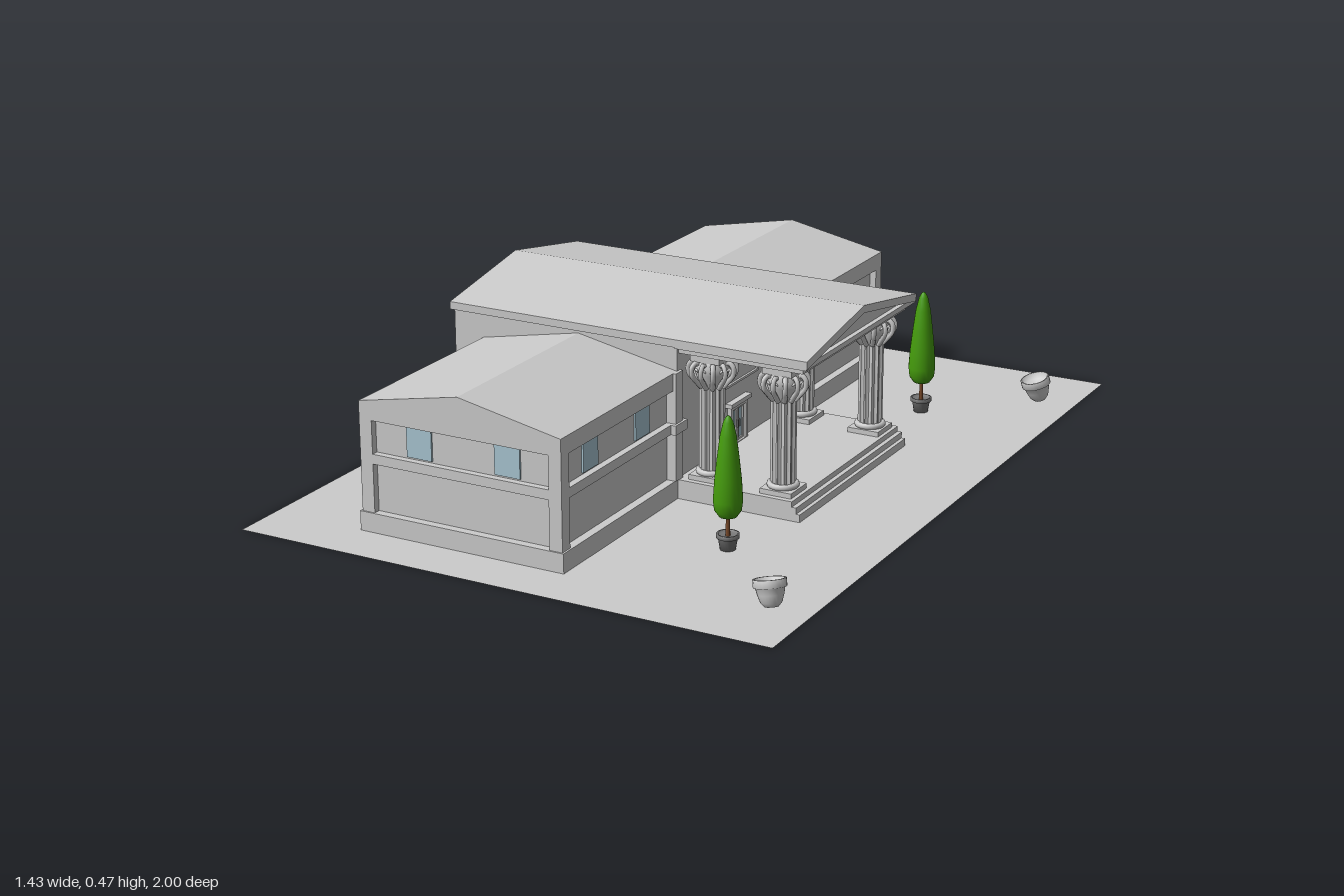
import * as THREE from 'three';

const mat = (color, side = THREE.FrontSide) => new THREE.MeshStandardMaterial({ color, side });
const grey = mat(0xcccccc);
const greyDouble = mat(0xcccccc, THREE.DoubleSide);
const glass = mat(0xa9c6d2);
const green = mat(0x459c0c);
const brown = mat(0x7a4a2a);
const dark = mat(0x777777, THREE.DoubleSide);
const ZC = 0.013; // centre line of the hall

function add(parent, name, geometry, material = grey) {
  const mesh = new THREE.Mesh(geometry, material);
  mesh.name = name;
  parent.add(mesh);
  return mesh;
}

// Box given by its limits on each axis
function box(parent, name, x0, x1, y0, y1, z0, z1, material = grey) {
  const m = add(parent, name, new THREE.BoxGeometry(x1 - x0, y1 - y0, z1 - z0), material);
  m.position.set((x0 + x1) / 2, (y0 + y1) / 2, (z0 + z1) / 2);
  return m;
}

const shapeOf = (pts) => new THREE.Shape(pts.map(([x, y]) => new THREE.Vector2(x, y)));
const extrude = (shape, depth) => new THREE.ExtrudeGeometry(shape, { depth, bevelEnabled: false });

// Extrusion along +x of an outline drawn across the width
function alongX(parent, name, shape, x0, x1, zc = ZC) {
  const m = add(parent, name, extrude(shape, x1 - x0).rotateY(Math.PI / 2));
  m.position.set(x0, 0, zc);
  return m;
}

function frameShape(w, y0, y1, t) {
  const s = shapeOf([[-w / 2, y0], [w / 2, y0], [w / 2, y1], [-w / 2, y1]]);
  s.holes.push(shapeOf([[-w / 2 + t, y0 + t], [-w / 2 + t, y1 - t], [w / 2 - t, y1 - t], [w / 2 - t, y0 + t]]));
  return s;
}

const gable = (h, y0, eave, ridge) => shapeOf([[-h, y0], [h, y0], [h, eave], [0, ridge], [-h, eave]]);

// Side wing: recessed walls framed by base, posts, band and gabled top
function makeWing(name, z0, z1, outer) {
  const g = new THREE.Group();
  g.name = name;
  const X0 = -0.46, X1 = 0.1, d = 0.018, p = 0.035;
  box(g, 'wingBase', X0 - 0.005, X1 + 0.005, 0, 0.05, z0 - 0.004, z1 + 0.004);
  box(g, 'wingWall', X0 + d, X1 - d, 0.05, 0.29, z0 + d, z1 - d);
  box(g, 'wingBand', X0, X1, 0.175, 0.2, z0, z1);
  for (const x of [X0, X1 - p]) {
    for (const z of [z0, z1 - p]) box(g, 'wingPost', x, x + p, 0.05, 0.285, z, z + p);
  }
  const top = add(g, 'wingRoof', extrude(gable(0.28, 0.285, 0.33, 0.385), z1 - z0));
  top.position.set(-0.18, 0, z0);

  // Windows on the end wall, then on the two long walls
  const end = outer > 0 ? z1 - d : z0 + d;
  for (const x of [-0.3, -0.055]) {
    box(g, 'wingWindow', x - 0.035, x + 0.035, 0.205, 0.28, end - 0.005, end + 0.005, glass);
  }
  for (const z of outer > 0 ? [0.46, 0.705] : [-0.425, -0.672]) {
    for (const x of [X0 + d, X1 - d]) {
      box(g, 'wingWindow', x - 0.005, x + 0.005, 0.205, 0.28, z - 0.034, z + 0.034, glass);
    }
  }
  return g;
}

function makeColumn(x, z) {
  const g = new THREE.Group();
  g.name = 'column';
  box(g, 'columnPlinth', -0.043, 0.043, 0.05, 0.063, -0.043, 0.043);
  const foot = add(g, 'columnFoot', new THREE.TorusGeometry(0.033, 0.008, 8, 24).rotateX(Math.PI / 2));
  foot.position.y = 0.069;

  // Fluted shaft
  const ring = [];
  for (let i = 0; i < 48; i++) {
    const a = (i / 48) * Math.PI * 2, r = i % 4 === 2 ? 0.0265 : i % 2 ? 0.028 : 0.032;
    ring.push([Math.cos(a) * r, Math.sin(a) * r]);
  }
  const shaft = add(g, 'columnShaft', extrude(shapeOf(ring), 0.235).rotateX(-Math.PI / 2));
  shaft.position.y = 0.065;

  // Bell capital with curled leaves
  const bell = [[0.03, 0.29], [0.034, 0.3], [0.042, 0.325], [0.047, 0.345], [0.036, 0.362]];
  add(g, 'capitalBell', new THREE.LatheGeometry(bell.map(([r, y]) => new THREE.Vector2(r, y)), 24), greyDouble);
  const leaf = new THREE.CatmullRomCurve3([[0.031, 0.29], [0.045, 0.307], [0.058, 0.325], [0.058, 0.345],
    [0.046, 0.355], [0.038, 0.342], [0.047, 0.334]].map(([r, y]) => new THREE.Vector3(r, y, 0)));
  for (let i = 0; i < 12; i++) {
    const m = add(g, 'capitalLeaf', new THREE.TubeGeometry(leaf, 18, 0.0065, 6));
    m.rotation.y = (i / 12) * Math.PI * 2;
  }
  box(g, 'capitalSlab', -0.04, 0.04, 0.358, 0.376, -0.04, 0.04);
  g.position.set(x, 0, z);
  return g;
}

function makeTree(z) {
  const g = new THREE.Group();
  g.name = 'pottedTree';
  const lathe = (pts) => new THREE.LatheGeometry(pts.map(([r, y]) => new THREE.Vector2(r, y)), 20);
  add(g, 'treePot', lathe([[0, 0], [0.019, 0], [0.024, 0.03], [0.028, 0.03], [0.028, 0.04], [0.023, 0.04], [0.022, 0.034], [0, 0.034]]), dark);
  add(g, 'treeTrunk', new THREE.CylinderGeometry(0.005, 0.006, 0.06, 8).translate(0, 0.06, 0), brown);
  add(g, 'treeFoliage', lathe([[0, 0.078], [0.022, 0.084], [0.033, 0.1], [0.036, 0.125], [0.033, 0.175],
    [0.027, 0.23], [0.02, 0.285], [0.012, 0.32], [0.005, 0.333], [0, 0.336]]), green);
  g.position.set(0.367, 0, z);
  return g;
}

// Tilted bowl lamp aimed at the building
function makeLamp(z, tilt) {
  const bowl = [[0, 0], [0.016, 0.002], [0.025, 0.012], [0.031, 0.03], [0.034, 0.045], [0.039, 0.047],
    [0.039, 0.066], [0.034, 0.066], [0.03, 0.05], [0, 0.046]];
  const m = new THREE.Mesh(new THREE.LatheGeometry(bowl.map(([r, y]) => new THREE.Vector2(r, y)), 24), greyDouble);
  m.name = 'bowlLamp';
  m.position.set(0.626, 0.01, z);
  m.rotation.set(tilt, 0, 0.2);
  return m;
}

export function createModel() {
  const root = new THREE.Group();
  root.name = 'building';
  add(root, 'ground', new THREE.PlaneGeometry(1.435, 2).rotateX(-Math.PI / 2), greyDouble);

  // Wings
  root.add(makeWing('leftWing', 0.29, 0.86, 1), makeWing('rightWing', -0.865, -0.265, -1));

  // Hall body and roof
  const hall = new THREE.Group();
  hall.name = 'hall';
  root.add(hall);
  box(hall, 'hallBase', -0.552, 0.1, 0, 0.05, ZC - 0.305, ZC + 0.305);
  alongX(hall, 'hallWalls', gable(0.3, 0.05, 0.4, 0.455), -0.545, 0.1);
  alongX(hall, 'pediment', gable(0.3, 0.39, 0.4, 0.455), 0.1, 0.445);
  alongX(hall, 'hallRoof', shapeOf([[-0.313, 0.395], [0, 0.45], [0.313, 0.395], [0.313, 0.415], [0, 0.47], [-0.313, 0.415]]), -0.55, 0.46);
  box(hall, 'pedimentCornice', 0.1, 0.458, 0.392, 0.405, ZC - 0.313, ZC + 0.313);

  // Beams over the columns
  for (const s of [-1, 1]) {
    const z = ZC + s * 0.248;
    box(hall, 'sideBeam', 0.09, 0.44, 0.375, 0.396, z - 0.045, z + 0.045);
  }
  box(hall, 'frontBeam', 0.35, 0.44, 0.375, 0.396, ZC - 0.293, ZC + 0.293);

  // Rear windows
  for (const z of [-0.125, 0.145]) {
    alongX(hall, 'rearWindowFrame', frameShape(0.13, 0.21, 0.36, 0.02), -0.562, -0.544, z);
    box(hall, 'rearWindowPane', -0.548, -0.54, 0.225, 0.345, z - 0.05, z + 0.05);
  }

  // Entrance facade
  alongX(hall, 'facadePanel', frameShape(0.265, 0.208, 0.268, 0.006), 0.1, 0.106, 0.022);
  alongX(hall, 'doorFrame', frameShape(0.09, 0.042, 0.155, 0.01), 0.1, 0.112, 0.005);
  box(hall, 'doorLintel', 0.1, 0.118, 0.155, 0.166, -0.05, 0.06);
  for (const s of [-1, 1]) {
    const z = 0.005 + s * 0.018;
    alongX(hall, 'doorLeaf', frameShape(0.034, 0.05, 0.145, 0.007), 0.1, 0.106, z);
    box(hall, 'doorGlass', 0.099, 0.102, 0.057, 0.138, z - 0.011, z + 0.011, glass);
    box(hall, 'doorHandle', 0.106, 0.111, 0.09, 0.11, 0.005 + s * 0.005 - 0.002, 0.005 + s * 0.005 + 0.002, dark);
    const c = ZC + s * 0.302;
    box(hall, 'cornerPost', 0.08, 0.108, 0.05, 0.33, c - 0.018, c + 0.018);
    box(hall, 'cornerBlock', 0.08, 0.114, 0.175, 0.2, c - 0.03, c + 0.03);
  }

  // Portico steps
  [[0.442, 0, 0.02], [0.432, 0.02, 0.036], [0.42, 0.036, 0.05]].forEach(([x, y0, y1]) =>
    box(root, 'porticoStep', 0.07, x, y0, y1, ZC - 0.306, ZC + 0.306));

  for (const x of [0.17, 0.367]) for (const s of [-1, 1]) root.add(makeColumn(x, ZC + s * 0.248));
  root.add(makeTree(0.548), makeTree(-0.558));
  root.add(makeLamp(0.825, -0.2), makeLamp(-0.77, 0.2));
  return root;
}
